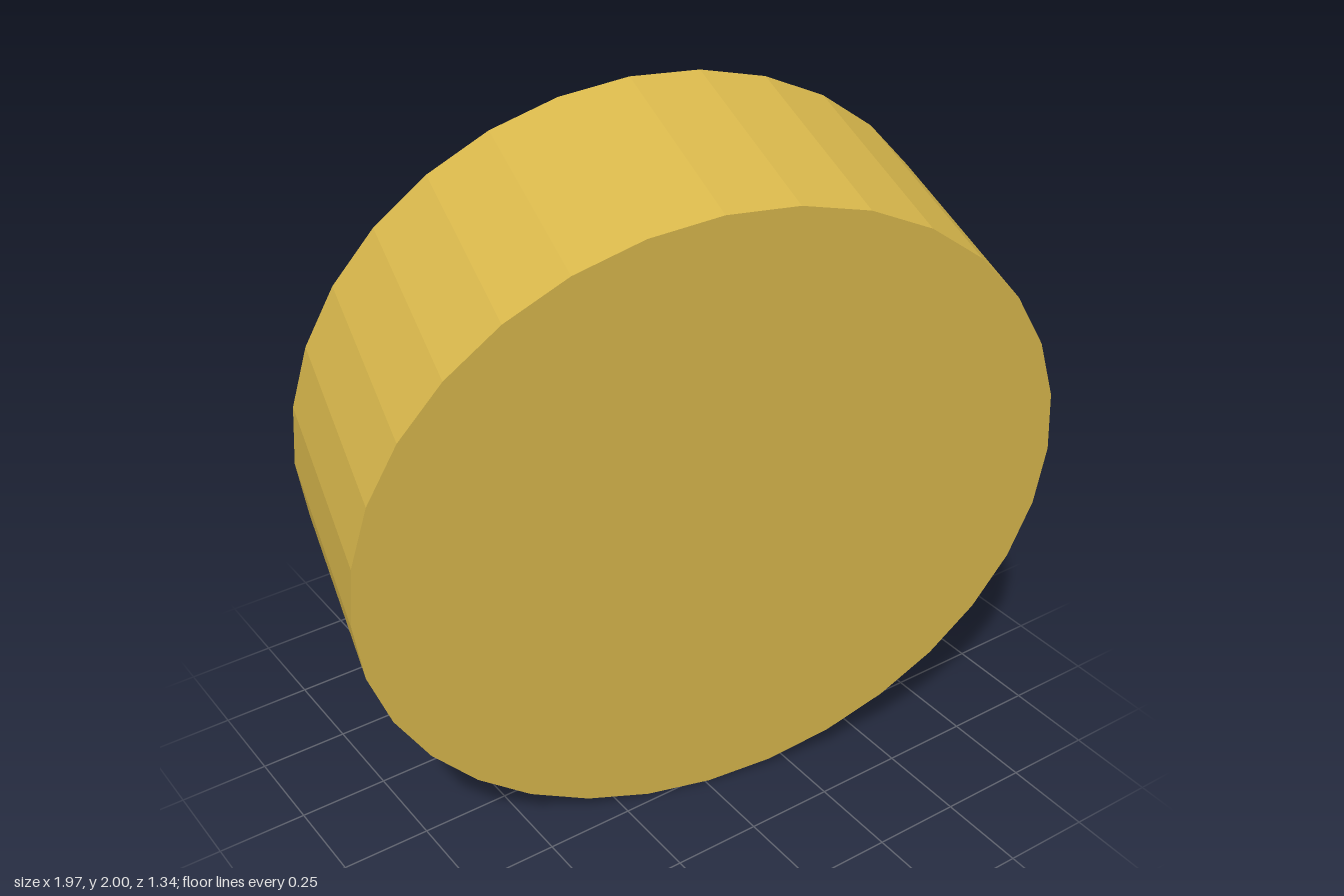
import * as THREE from 'three';

const SIDES = 32;

// Oval faceted disc whose axis runs along z
function disc(name, color, rx, ry, depth) {
  const geometry = new THREE.CylinderGeometry(1, 1, depth, SIDES, 1, false, Math.PI / SIDES);
  geometry.rotateX(Math.PI / 2).scale(rx, ry, 1);
  const mesh = new THREE.Mesh(geometry, new THREE.MeshStandardMaterial({ color, flatShading: true }));
  mesh.name = name;
  // Both discs share the same tilt: turned to the right and leaning forward
  mesh.rotation.set(0.158, -0.25, 0);
  return mesh;
}

export function createModel() {
  const model = new THREE.Group();
  model.name = 'tiltedDiscs';

  // Large front disc
  const front = disc('largeDisc', 0xd9b84c, 0.941, 0.967, 0.632);
  front.position.set(0, 1.0, 0.102);

  // Smaller oval disc, flush against the back face
  const back = disc('smallBackDisc', 0xcbdc85, 0.536, 0.688, 0.3);
  back.position.set(0.072, 1.095, -0.348);

  model.add(front, back);
  return model;
}
